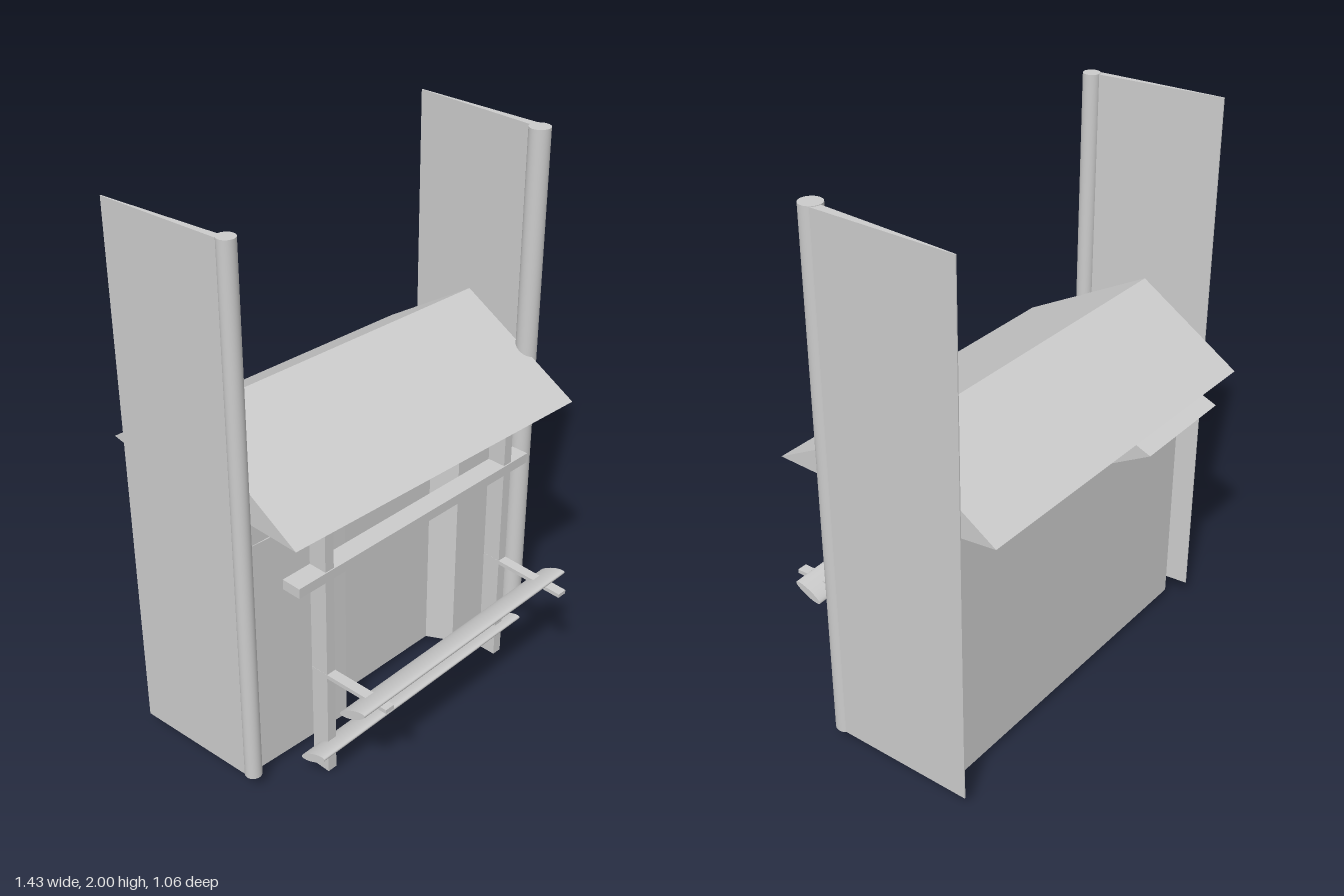
import * as THREE from 'three';

const material = new THREE.MeshStandardMaterial({ color: 0xcccccc });

function add(parent, name, geometry, position = [0, 0, 0], rotation = [0, 0, 0]) {
  const mesh = new THREE.Mesh(geometry, material);
  mesh.name = name;
  mesh.position.set(...position);
  mesh.rotation.set(...rotation);
  parent.add(mesh);
  return mesh;
}

// Side profile given as [z, y] points, extruded along x and centred
function alongX(points, length) {
  const shape = new THREE.Shape(points.map(([z, y]) => new THREE.Vector2(-z, y)));
  return new THREE.ExtrudeGeometry(shape, { depth: length, bevelEnabled: false })
    .translate(0, 0, -length / 2).rotateY(Math.PI / 2);
}

// Floor plan given as [x, z] points, extruded upwards from y = 0
function upwards(points, height) {
  const shape = new THREE.Shape(points.map(([x, z]) => new THREE.Vector2(x, -z)));
  return new THREE.ExtrudeGeometry(shape, { depth: height, bevelEnabled: false })
    .rotateX(-Math.PI / 2);
}

// Round post with a wall tapering back from it to a thin edge
function addSidePanel(parent, name, x, z, radius, tip, height) {
  const panel = new THREE.Group();
  panel.name = name;
  const s = Math.sign(x);
  add(panel, 'post', new THREE.CylinderGeometry(radius, radius, height, 32), [x, 0.06 + height / 2, z]);
  const inner = x - s * radius * 0.1, outer = x + s * radius * 0.8;
  add(panel, 'taperedWall', upwards([
    [inner, z], [outer, z], [tip[0] + s * 0.002, tip[1]], [tip[0] - s * 0.002, tip[1]],
  ], height - 0.004), [0, 0.062, 0]);
  parent.add(panel);
}

export function createModel() {
  const model = new THREE.Group();
  model.name = 'shelter';

  // Body: recessed front below, full block above
  const body = new THREE.Group();
  body.name = 'body';
  add(body, 'recessedWalls', upwards([
    [-0.665, -0.3], [0.67, -0.3], [0.67, 0.11], [0.36, 0.11],
    [0.31, 0.02], [-0.16, 0.02], [-0.21, 0.11], [-0.665, 0.09],
  ], 0.91), [0, 0.03, 0]);
  add(body, 'upperWall', upwards([
    [-0.665, -0.3], [0.67, -0.3], [0.67, 0.11], [-0.665, 0.09],
  ], 0.14), [0, 0.94, 0]);
  model.add(body);

  // Solid gabled roof, slightly askew
  add(model, 'roof', alongX([[0.35, 1.055], [-0.14, 1.323], [-0.52, 1.085], [-0.3, 1.055]], 1.3),
    [0, 0, 0], [0, -0.016, -0.011]);

  // Small awning on the back wall
  add(model, 'backAwning', alongX([[-0.28, 1.02], [-0.475, 0.942], [-0.28, 0.83]], 0.42), [-0.41, 0, 0]);

  // Tall side panels
  addSidePanel(model, 'rightPanel', -0.663, 0.12, 0.03, [-0.715, -0.36], 1.94);
  addSidePanel(model, 'leftPanel', 0.672, 0.135, 0.038, [0.695, -0.4], 1.915);

  // Front frame: uprights, brackets and rail
  const frame = new THREE.Group();
  frame.name = 'frontFrame';
  for (const [x, bracketEnd] of [[-0.42, 0.515], [0.455, 0.525]]) {
    add(frame, 'upright', new THREE.BoxGeometry(0.037, 1.08, 0.07), [x, 0.54, 0.215]);
    const length = bracketEnd - 0.18;
    add(frame, 'bracket', new THREE.BoxGeometry(0.038, 0.015, length), [x, 0.42, 0.18 + length / 2],
      [x < 0 ? -0.04 : 0.03, 0, 0]);
  }
  add(frame, 'rail', new THREE.BoxGeometry(1.115, 0.037, 0.074), [0.002, 0.817, 0.217]);
  model.add(frame);

  // Oval planks, tilted and slightly askew
  for (const [name, y, z] of [['upperPlank', 0.417, 0.43], ['lowerPlank', 0.115, 0.245]]) {
    const plank = new THREE.CylinderGeometry(1, 1, 1.06, 32)
      .rotateZ(Math.PI / 2).scale(1, 0.016, 0.058).rotateX(-0.44);
    add(model, name, plank, [0.01, y, z], [0, 0.028, -0.011]);
  }

  return model;
}
